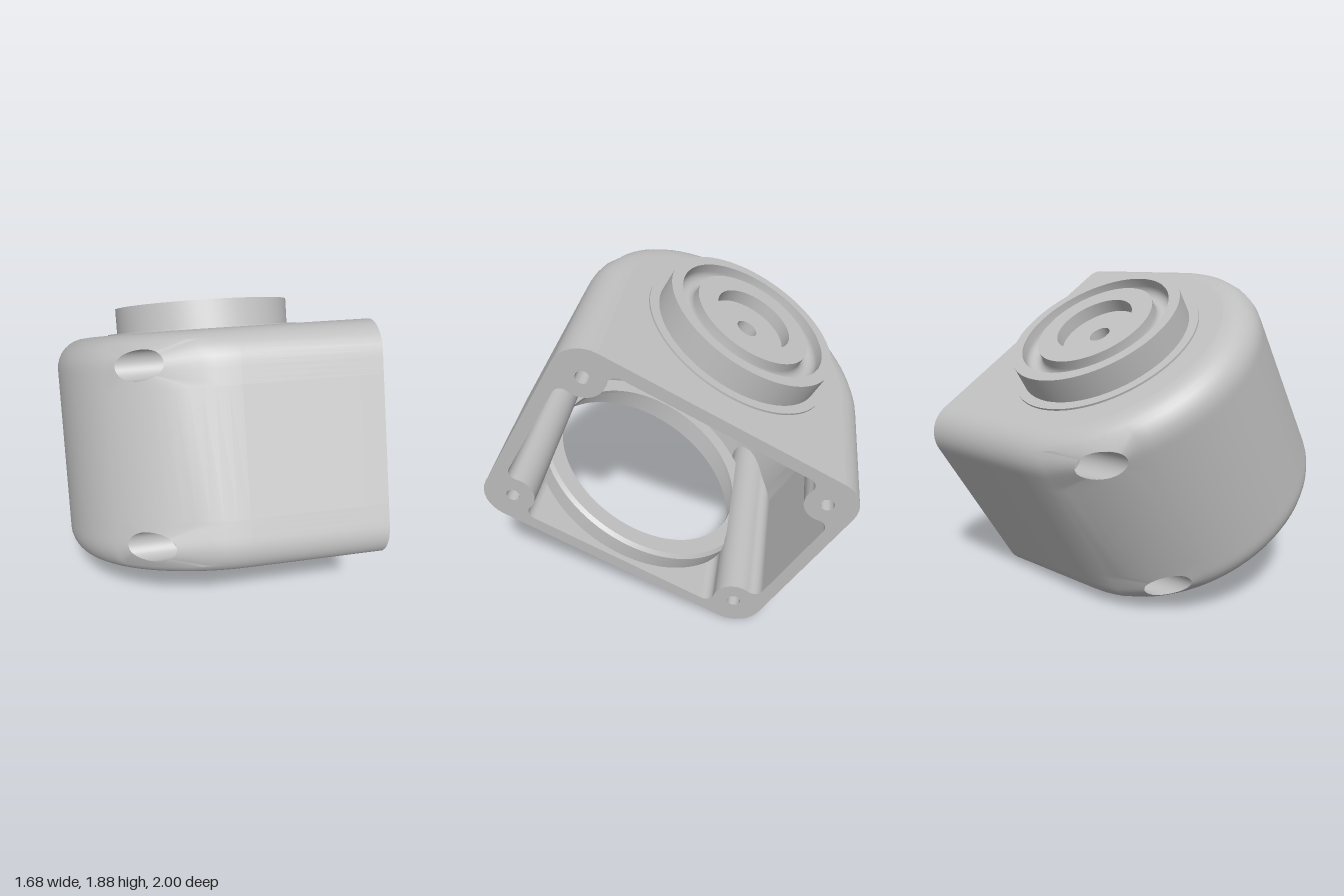
import * as THREE from 'three';
import { toCreasedNormals } from 'three/addons/utils/BufferGeometryUtils.js';

const R = 0.865, H = 0.632, F = 0.17;   // outer plan radius, half height, edge fillet
const RI = 0.79, HI = 0.562;            // cavity plan radius and half height
const XF = 0.755;                       // open mounting face
const BZ = 0.7, BY = 0.467;             // screw positions
const FY = H - F;
const rad = THREE.MathUtils.degToRad;

// Quads [a, b, c, d] to a geometry, smooth except at sharp edges
function fromQuads(quads) {
  const pos = [];
  for (const [a, b, c, d] of quads) for (const p of [a, c, b, a, d, c]) pos.push(...p);
  const g = new THREE.BufferGeometry();
  g.setAttribute('position', new THREE.Float32BufferAttribute(pos, 3));
  return toCreasedNormals(g, 0.55);
}

// Quads between successive rows of points
function loft(rows) {
  const quads = [];
  for (let j = 0; j + 1 < rows.length; j++)
    for (let i = 0; i + 1 < rows[j].length; i++)
      quads.push([rows[j][i], rows[j][i + 1], rows[j + 1][i + 1], rows[j + 1][i]]);
  return quads;
}

function arc(cx, cy, r, from, to, n) {
  const pts = [];
  for (let i = 0; i <= n; i++) {
    const a = rad(from + (to - from) * i / n);
    pts.push([cx + r * Math.cos(a), cy + r * Math.sin(a)]);
  }
  return pts;
}

function lathe(profile) {
  const pts = profile.map(p => new THREE.Vector2(...p));
  return toCreasedNormals(new THREE.LatheGeometry(pts, 96), 0.55);
}

// Radius of the outer wall at a height, rounded at top and bottom
function wallRadius(y) {
  const over = Math.max(0, Math.abs(y) - FY);
  return R - F + Math.sqrt(Math.max(0, F * F - over * over));
}

// Outer D-shaped wall with round counterbore openings, plus the bores
function outerWall() {
  const ys = [];
  for (let k = 8; k >= 0; k--) ys.push(FY + F * Math.sin(rad(k * 11.25)));
  for (let k = 1; k <= 4; k++) ys.push(FY - 0.03 * k);
  const rows = [...ys.map(y => -y), ...ys.slice().reverse()].map(y => {
    const r = wallRadius(y), row = [[XF, y, r]];
    for (let i = 0; i <= 40; i++) {
      const t = rad(90 - 4.5 * i);
      row.push([-r * Math.cos(t), y, r * Math.sin(t)]);
    }
    row.push([XF, y, -r]);
    return row;
  });
  const windows = [];
  for (const [i0, sz] of [[4, 1], [30, -1]])
    for (const [j0, sy] of [[4, -1], [13, 1]]) windows.push({ i0, j0, z: sz * BZ, y: sy * BY });
  const quads = [], bores = [];
  for (let j = 0; j + 1 < rows.length; j++)
    for (let i = 0; i + 1 < rows[j].length; i++) {
      if (windows.some(w => i >= w.i0 && i < w.i0 + 8 && j >= w.j0 && j < w.j0 + 8)) continue;
      quads.push([rows[j][i], rows[j][i + 1], rows[j + 1][i + 1], rows[j + 1][i]]);
    }
  for (const w of windows) {
    const outer = [];
    for (let k = 0; k <= 32; k++) {
      const s = Math.floor((k % 32) / 8), m = k % 8;
      const [di, dj] = [[m, 0], [8, m], [8 - m, 8], [0, 8 - m]][s];
      outer.push(rows[w.j0 + dj][w.i0 + di]);
    }
    const ring = (r, x) => outer.map(p => {
      const a = Math.atan2(p[1] - w.y, p[2] - w.z);
      const y = w.y + r * Math.sin(a), z = w.z + r * Math.cos(a);
      return [x ?? -Math.sqrt(wallRadius(y) ** 2 - z * z), y, z];
    });
    const mouth = ring(0.08);
    quads.push(...loft([outer, mouth]));
    bores.push(...loft([mouth, ring(0.08, -0.25), ring(0.037, -0.25), ring(0.037, XF)]));
  }
  return { wall: fromQuads(quads), bores: fromQuads(bores) };
}

// Upper half of the cavity outline as [z, y], with screw bosses in the corners
function cavityOutline() {
  const flat = [], n = 24, z0 = 0.536;
  for (let i = 0; i <= n; i++) flat.push([z0 * i / n, HI]);
  const half = [
    ...flat,
    ...arc(z0, 0.512, 0.05, 90, -15.3, 8).slice(1),
    ...arc(BZ, BY, 0.12, 164.7, 283.6, 16).slice(1),
    ...arc(0.74, 0.302, 0.05, 103.6, 0, 8).slice(1),
  ];
  return [...half.slice(1).reverse().map(([z, y]) => [-z, y]), ...half];
}

const endX = z => -Math.sqrt(Math.max(0, RI * RI - z * z));

function cavity(outline) {
  const quads = [], N = 20;
  // run of the outline along x; near the floor it stays outside the bottom opening
  const run = ([z, y]) => Array.from({ length: N + 1 }, (_, k) => {
    const x = XF + (endX(z) - XF) * k / N;
    const clear = y < -0.44 ? Math.sqrt(Math.max(0, 0.69 ** 2 - x * x)) : 0;
    return [x, y, Math.sign(z) * Math.max(Math.abs(z), clear)];
  });
  const isFlat = (a, b) => a[1] === HI && b[1] === HI;
  for (let i = 0; i + 1 < outline.length; i++) {
    const a = outline[i], b = outline[i + 1];
    for (const s of [1, -1]) {
      const [p, q] = s > 0 ? [a, b] : [b, a];
      if (!isFlat(a, b)) {
        quads.push(...loft([run([p[0], s * p[1]]), run([q[0], s * q[1]])]));
        continue;
      }
      // ceiling and floor, open in the middle
      const r = s > 0 ? 0.2 : 0.69;
      const gap = z => Math.sqrt(Math.max(0, r * r - z * z));
      const y = s * HI;
      quads.push(...loft([[XF, 1], [endX, -1]].map(() => []).slice(2)));
      quads.push([[XF, y, p[0]], [gap(p[0]), y, p[0]], [gap(q[0]), y, q[0]], [XF, y, q[0]]]);
      quads.push([[-gap(p[0]), y, p[0]], [endX(p[0]), y, p[0]],
        [endX(q[0]), y, q[0]], [-gap(q[0]), y, q[0]]]);
    }
    // curved end wall
    quads.push([[endX(a[0]), a[1], a[0]], [endX(a[0]), -a[1], a[0]],
      [endX(b[0]), -b[1], b[0]], [endX(b[0]), b[1], b[0]]]);
  }
  // straight side walls
  for (const [z, y] of [outline[0], outline[outline.length - 1]]) {
    const s = Math.sign(z);
    quads.push([[XF, s * y, z], [XF, -s * y, z], [0, -s * y, z], [0, s * y, z]]);
  }
  return fromQuads(quads);
}

const circle = (x, y, r) => new THREE.Path().absarc(x, y, r, 0, Math.PI * 2, true);

// Flat D-shaped top or bottom with a round opening
function capFace(y, opening) {
  const r = R - F, s = new THREE.Shape();
  s.moveTo(XF, -r).lineTo(XF, r).lineTo(0, r);
  s.absarc(0, 0, r, Math.PI / 2, Math.PI * 1.5, false);
  s.holes.push(circle(0, 0, opening));
  return new THREE.ShapeGeometry(s, 48).rotateX(y > 0 ? -Math.PI / 2 : Math.PI / 2).translate(0, y, 0);
}

// Mounting rim around the cavity with screw holes
function rimFace(outline) {
  const c = R - F;
  const pts = [...arc(c, FY, F, 0, 90, 8), ...arc(-c, FY, F, 90, 180, 8),
    ...arc(-c, -FY, F, 180, 270, 8), ...arc(c, -FY, F, 270, 360, 8)];
  const s = new THREE.Shape(pts.map(p => new THREE.Vector2(...p)));
  const loop = [...outline, ...outline.slice().reverse().map(([z, y]) => [z, -y])];
  s.holes.push(new THREE.Path(loop.map(p => new THREE.Vector2(...p))));
  for (const z of [-BZ, BZ]) for (const y of [-BY, BY]) s.holes.push(circle(z, y, 0.037));
  return new THREE.ShapeGeometry(s, 16).rotateY(Math.PI / 2).translate(XF, 0, 0);
}

export function createModel() {
  const metal = new THREE.MeshStandardMaterial({ color: 0xbfbfbf, side: THREE.DoubleSide });
  metal.name = 'light grey';
  const model = new THREE.Group();
  model.name = 'housing';
  const add = (name, geometry) => {
    const mesh = new THREE.Mesh(geometry, metal);
    mesh.name = name;
    model.add(mesh);
  };
  const outline = cavityOutline();
  const { wall, bores } = outerWall();
  add('outerWall', wall);
  add('screwBores', bores);
  add('topFace', capFace(H, 0.4));
  add('bottomFace', capFace(-H, 0.66));
  add('mountingRim', rimFace(outline));
  add('cavity', cavity(outline));

  // raised round seat with ring groove, recess and centre hole
  add('topSeat', lathe([
    [0.56, H], [0.56, 0.643], [0.505, 0.643], [0.505, 0.79], [0.44, 0.79], [0.44, 0.74],
    ...arc(0.3925, 0.74, 0.0475, 0, -180, 10).slice(1), [0.345, 0.79], [0.225, 0.79],
    [0.225, 0.715], [0.06, 0.715], [0.06, 0.497], [0.23, 0.497], [0.23, 0.57],
  ]));
  // stepped collar around the bottom opening
  add('bottomCollar', lathe([
    [0.66, -H], [0.66, -0.474], [0.6, -0.474], [0.6, -0.45],
    [0.7, -0.45], [0.72, -0.47], [0.72, -0.565],
  ]));

  // the whole housing rests tilted
  model.rotation.set(rad(-29.2), 0, rad(-2.7), 'ZYX');
  model.position.set(0.035, 0.946, 0);
  const root = new THREE.Group();
  root.name = 'tiltedHousing';
  root.add(model);
  return root;
}
